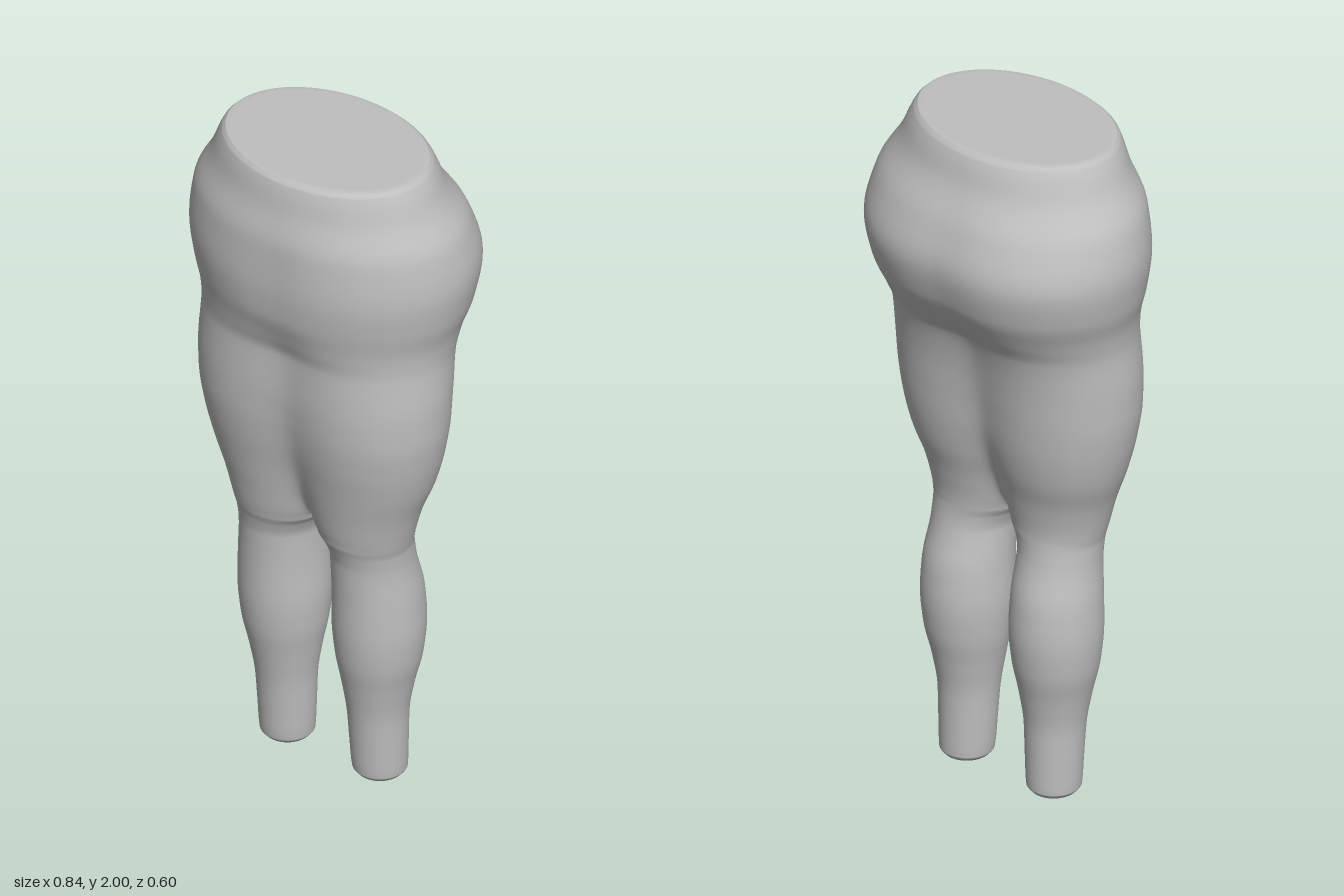
import * as THREE from 'three';
import { mergeVertices } from 'three/addons/utils/BufferGeometryUtils.js';

// Sections of one half, top to bottom: y, outer x, inner x at front, inner x at back, front z, back z.
// A negative inner x means the two thighs overlap and merge on the centre plane.
const SECTIONS = [
  [2.0, 0.297, -0.297, -0.297, 0.244, -0.175],
  [1.985, 0.31, -0.31, -0.31, 0.257, -0.189],
  [1.9, 0.347, -0.33, -0.31, 0.275, -0.218],
  [1.8, 0.4, -0.32, -0.28, 0.296, -0.268],
  [1.68, 0.42, -0.3, -0.25, 0.298, -0.3],
  [1.57, 0.405, -0.3, -0.23, 0.288, -0.278],
  [1.48, 0.38, -0.2, -0.18, 0.262, -0.23],
  [1.41, 0.373, -0.13, -0.12, 0.246, -0.187],
  [1.3, 0.377, -0.11, -0.1, 0.247, -0.162],
  [1.2, 0.374, -0.09, -0.085, 0.243, -0.15],
  [1.1, 0.36, -0.075, -0.07, 0.23, -0.138],
  [1.0, 0.335, -0.055, -0.05, 0.21, -0.118],
  [0.9, 0.298, -0.03, -0.03, 0.19, -0.088],
  [0.8, 0.272, 0.0, 0.0, 0.17, -0.072],
  [0.77, 0.266, 0.02, 0.02, 0.16, -0.073],
  [0.72, 0.265, 0.034, 0.034, 0.15, -0.08],
  [0.6, 0.276, 0.031, 0.031, 0.145, -0.11],
  [0.5, 0.28, 0.028, 0.028, 0.143, -0.117],
  [0.4, 0.272, 0.035, 0.035, 0.134, -0.108],
  [0.3, 0.25, 0.052, 0.052, 0.114, -0.086],
  [0.2, 0.234, 0.066, 0.066, 0.097, -0.071],
  [0.1, 0.23, 0.071, 0.071, 0.088, -0.069],
  [0.015, 0.226, 0.077, 0.077, 0.081, -0.068],
  [0.0, 0.215, 0.088, 0.088, 0.07, -0.058],
];
const SIDE = 28; // segments along the front and along the back of a ring
const STEPS = 5; // rings between two sections

// Smooth interpolation of the sections without overshoot
function smoothSections(rows) {
  const grad = (i, k) => (rows[i + 1][k] - rows[i][k]) / (rows[i + 1][0] - rows[i][0]);
  const slope = (i, k) => {
    if (i === 0) return grad(0, k);
    if (i === rows.length - 1) return grad(i - 1, k);
    const a = grad(i - 1, k), b = grad(i, k);
    return a * b <= 0 ? 0 : (2 * a * b) / (a + b);
  };
  const out = [];
  for (let i = 0; i < rows.length - 1; i++) {
    const h = rows[i + 1][0] - rows[i][0];
    for (let s = 0; s < STEPS; s++) {
      const t = s / STEPS, t2 = t * t, t3 = t2 * t;
      out.push(rows[i].map((v, k) => k === 0 ? v + h * t
        : v * (2 * t3 - 3 * t2 + 1) + rows[i + 1][k] * (3 * t2 - 2 * t3)
          + h * (slope(i, k) * (t3 - 2 * t2 + t) + slope(i + 1, k) * (t3 - t2))));
    }
  }
  out.push(rows[rows.length - 1]);
  return out;
}

// One ring: front inner edge, around the outside, to the back inner edge
function ring([y, outer, innerF, innerB, front, back]) {
  const zc = (front + back) / 2, depth = (front - back) / 2;
  const points = [];
  for (let i = -SIDE; i <= SIDE; i++) {
    const inner = i < 0 ? innerF : innerB;
    const cx = (outer + inner) / 2, a = (outer - inner) / 2;
    const end = inner < 0 ? Math.acos(Math.max(-1, -cx / a)) : Math.PI;
    const t = end * Math.abs(i) / SIDE;
    const x = Math.max(0, cx + a * Math.cos(t));
    let c = Math.cos(t);
    // soften the groove where the thighs meet
    const e = Math.min(0.05, -inner * 0.5);
    if (c < 0 && e > 1e-4) c = Math.min(0, (x + e * Math.exp(-x / e) - cx) / a);
    const z = depth * Math.sqrt(Math.max(0, 1 - c * c));
    points.push([x, y, zc - Math.sign(i) * z]);
  }
  return points;
}

// Flat end: an inset ring, then its middle
function capRings(edge, cx) {
  const zc = (Math.max(...edge.map(p => p[2])) + Math.min(...edge.map(p => p[2]))) / 2;
  return [0.94, 0].map(s => edge.map(([x, y, z]) => [cx + (x - cx) * s, y, zc + (z - zc) * s]));
}

function bodyGeometry() {
  const rings = smoothSections(SECTIONS).map(ring);
  const last = SECTIONS[SECTIONS.length - 1];
  rings.unshift(...capRings(rings[0], 0).reverse());
  rings.push(...capRings(rings[rings.length - 1], (last[1] + last[2]) / 2));

  const positions = [], index = [], n = 2 * SIDE + 1;
  for (const mirror of [1, -1]) {
    const base = positions.length / 3;
    for (const r of rings) for (const [x, y, z] of r) positions.push(mirror * x, y, z);
    for (let j = 0; j < rings.length - 1; j++) {
      for (let i = 0; i < n - 1; i++) {
        const a = base + j * n + i, b = a + n;
        if (mirror > 0) index.push(a, b, a + 1, a + 1, b, b + 1);
        else index.push(a, a + 1, b, a + 1, b + 1, b);
      }
    }
  }
  const geometry = new THREE.BufferGeometry();
  geometry.setAttribute('position', new THREE.Float32BufferAttribute(positions, 3));
  geometry.setIndex(index);
  const merged = mergeVertices(geometry, 1e-5);
  merged.computeVertexNormals();
  return merged;
}

export function createModel() {
  const grey = new THREE.MeshStandardMaterial({ color: 0xbfbfbf });
  grey.name = 'grey';
  const group = new THREE.Group();
  group.name = 'lowerBody';
  const body = new THREE.Mesh(bodyGeometry(), grey);
  body.name = 'hipsAndLegs';
  group.add(body);
  return group;
}
